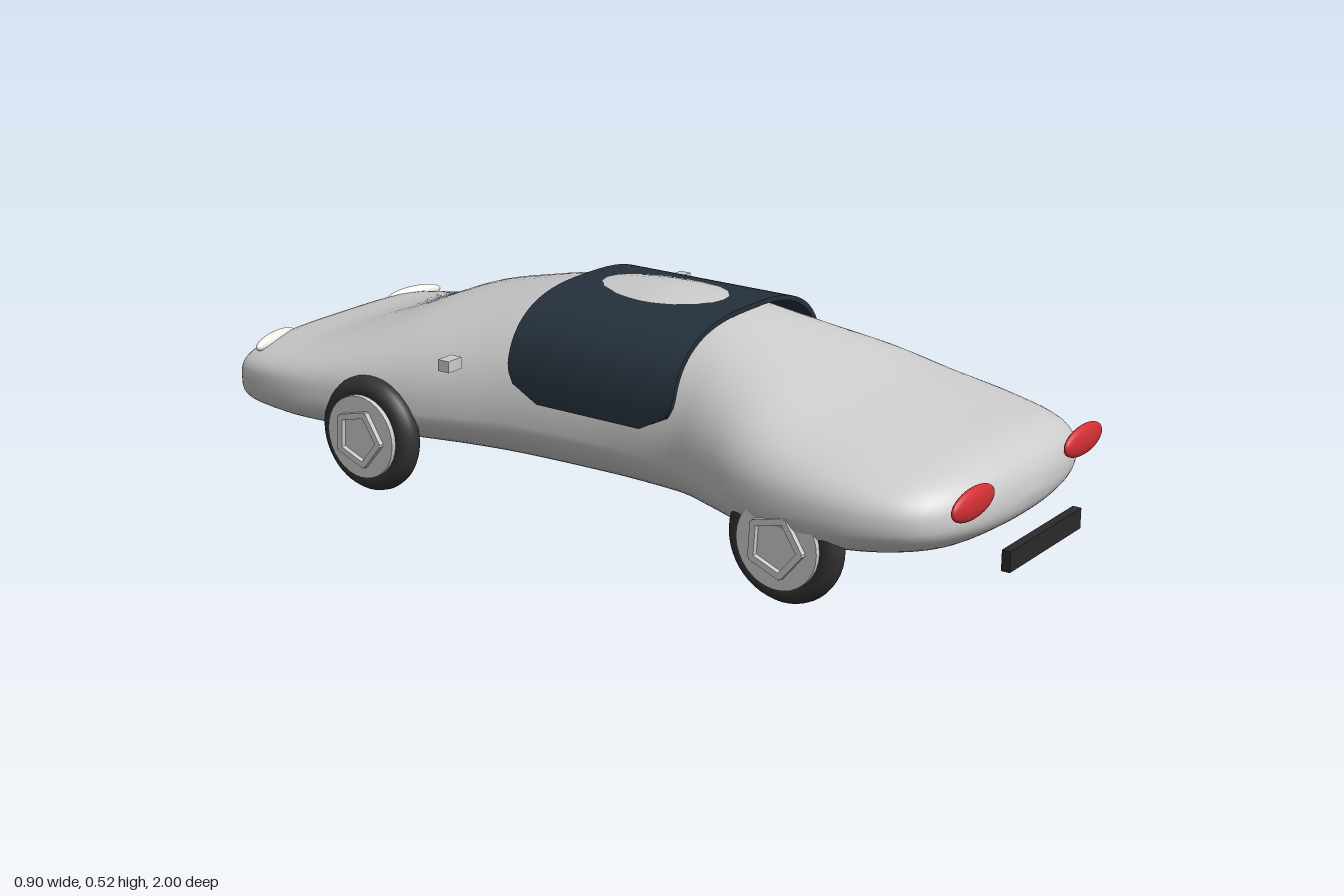
import * as THREE from 'three';
import { toCreasedNormals } from 'three/addons/utils/BufferGeometryUtils.js';

const paint = (color) => new THREE.MeshStandardMaterial({ color });
const grey = paint(0xcccccc);
const black = paint(0x2a2a2a);
const tyreBlack = paint(0x333333);
const glass = paint(0x25313c);
const red = paint(0xd22f33);
const white = paint(0xeeeee6);

function part(parent, name, geometry, material, x = 0, y = 0, z = 0) {
  const mesh = new THREE.Mesh(geometry, material);
  mesh.name = name;
  mesh.position.set(x, y, z);
  parent.add(mesh);
  return mesh;
}

// Skin a list of closed rings (arrays of Vector3) and cap both ends.
function loft(rings) {
  const n = rings[0].length, pts = rings.flat(), index = [];
  for (let i = 0; i < rings.length - 1; i++) {
    for (let j = 0; j < n; j++) {
      const a = i * n + j, b = i * n + (j + 1) % n;
      index.push(a, b, a + n, b, b + n, a + n);
    }
  }
  const last = (rings.length - 1) * n;
  const centre = (ring) => ring.reduce((s, p) => s.add(p), new THREE.Vector3()).divideScalar(n);
  pts.push(centre(rings[0]), centre(rings[rings.length - 1]));
  for (let j = 0; j < n; j++) {
    const k = (j + 1) % n;
    index.push(pts.length - 2, k, j, pts.length - 1, last + j, last + k);
  }
  const g = new THREE.BufferGeometry().setFromPoints(pts);
  g.setIndex(index);
  g.computeVertexNormals();
  return g;
}

const power = (v, e) => Math.sign(v) * Math.pow(Math.abs(v), e);

// Body stations: z, half width, bottom, height of widest point, top, squareness
const STATIONS = [
  [-0.978, 0.30, 0.150, 0.20, 0.240, 3.0],
  [-0.970, 0.335, 0.125, 0.20, 0.265, 3.2],
  [-0.940, 0.358, 0.105, 0.20, 0.285, 3.2],
  [-0.80, 0.375, 0.094, 0.20, 0.310, 3.0],
  [-0.65, 0.364, 0.088, 0.20, 0.362, 2.6],
  [-0.50, 0.343, 0.085, 0.20, 0.422, 2.3],
  [-0.35, 0.322, 0.085, 0.21, 0.462, 2.1],
  [-0.20, 0.300, 0.085, 0.22, 0.493, 2.1],
  [0.00, 0.285, 0.085, 0.22, 0.514, 2.1],
  [0.12, 0.285, 0.085, 0.22, 0.511, 2.1],
  [0.25, 0.300, 0.085, 0.22, 0.491, 2.1],
  [0.35, 0.335, 0.085, 0.22, 0.464, 2.2],
  [0.47, 0.376, 0.086, 0.22, 0.426, 2.4],
  [0.60, 0.393, 0.090, 0.22, 0.382, 2.5],
  [0.75, 0.383, 0.104, 0.22, 0.350, 2.5],
  [0.87, 0.340, 0.130, 0.22, 0.328, 2.4],
  [0.93, 0.260, 0.160, 0.22, 0.300, 2.3],
  [0.957, 0.150, 0.185, 0.22, 0.265, 2.2],
  [0.966, 0.030, 0.213, 0.22, 0.230, 2.0],
];

function bodyGeometry() {
  const spline = (k) => new THREE.CatmullRomCurve3(
    STATIONS.map((s) => new THREE.Vector3(s[k], s[k + 1], s[k + 2])), false, 'catmullrom', 0.5);
  const first = spline(0), second = spline(3);
  const rings = [], steps = (STATIONS.length - 1) * 4, sides = 64;
  for (let i = 0; i <= steps; i++) {
    const { x: z, y: w, z: bottom } = first.getPoint(i / steps);
    const { x: mid, y: top, z: e } = second.getPoint(i / steps);
    const ring = [];
    for (let j = 0; j < sides; j++) {
      const a = (j / sides) * Math.PI * 2, s = power(Math.sin(a), 2 / e);
      ring.push(new THREE.Vector3(w * power(Math.cos(a), 2 / e),
        mid + s * (s > 0 ? top - mid : mid - bottom), z));
    }
    rings.push(ring);
  }
  return loft(rings);
}

// Curved glass band over the cabin, with rounded lower corners
function canopyGeometry() {
  const rings = [], steps = 40, zMid = 0.035, base = 0.28;
  for (let i = 0; i <= steps; i++) {
    const a = (i / steps) * Math.PI;
    const c = power(Math.cos(a), 2 / 2.8), s = power(Math.max(0, Math.sin(a)), 2 / 2.8);
    const drop = Math.max(0, 1 - (0.222 * s) / 0.09);
    const half = 0.225 - 0.085 * (1 - Math.sqrt(1 - drop * drop));
    const at = (inset, z) => new THREE.Vector3((0.295 - inset) * c, base + (0.222 - inset) * s, zMid + z);
    rings.push([at(0, half), at(0, -half), at(0.011, -half), at(0.011, half)]);
  }
  return toCreasedNormals(loft(rings), 0.7);
}

// Wheel with its outer face along +x
function wheel(name) {
  const g = new THREE.Group();
  g.name = name;
  part(g, 'tyre', new THREE.TorusGeometry(0.107, 0.03, 16, 48).rotateY(Math.PI / 2), tyreBlack);
  part(g, 'rim', new THREE.CylinderGeometry(0.098, 0.098, 0.08, 32).rotateZ(Math.PI / 2), grey);
  // Five bars form a raised pentagon on the rim
  for (let i = 0; i < 5; i++) {
    const bar = new THREE.BoxGeometry(0.02, 0.014, 0.08).translate(0.042, 0.052, 0);
    part(g, 'rimBar', bar.rotateX((i / 5) * Math.PI * 2 + 0.25), grey);
  }
  return g;
}

function lamp(parent, name, material, radii, x, y, z, turn) {
  const mesh = part(parent, name, new THREE.SphereGeometry(1, 32, 20), material, x, y, z);
  mesh.scale.set(...radii);
  mesh.rotation.y = turn;
}

export function createModel() {
  const car = new THREE.Group();
  car.name = 'car';
  part(car, 'body', bodyGeometry(), grey);
  part(car, 'canopy', canopyGeometry(), glass);

  for (const side of [1, -1]) {
    const label = side > 0 ? 'left' : 'right';
    for (const [end, z] of [['Front', 0.585], ['Rear', -0.555]]) {
      const w = wheel(`${label}${end}Wheel`);
      w.position.set(side * 0.342, 0.137, z);
      if (side < 0) w.rotation.y = Math.PI;
      car.add(w);
    }
    lamp(car, `${label}FrontLamp`, red, [0.084, 0.034, 0.015], side * 0.238, 0.267, 0.955, 0);
    lamp(car, `${label}RearLamp`, white, [0.083, 0.02, 0.018], side * 0.25, 0.27, -0.943, -side * 0.22);
    part(car, `${label}Mirror`, new THREE.BoxGeometry(0.044, 0.026, 0.03), grey, side * 0.43, 0.384, -0.235);
  }

  // Dark bumper bars
  part(car, 'frontBar', new THREE.BoxGeometry(0.31, 0.046, 0.02), black, 0, 0.124, 0.99);
  part(car, 'rearBar', new THREE.BoxGeometry(0.29, 0.042, 0.024), black, 0, 0.16, -0.988);
  return car;
}
